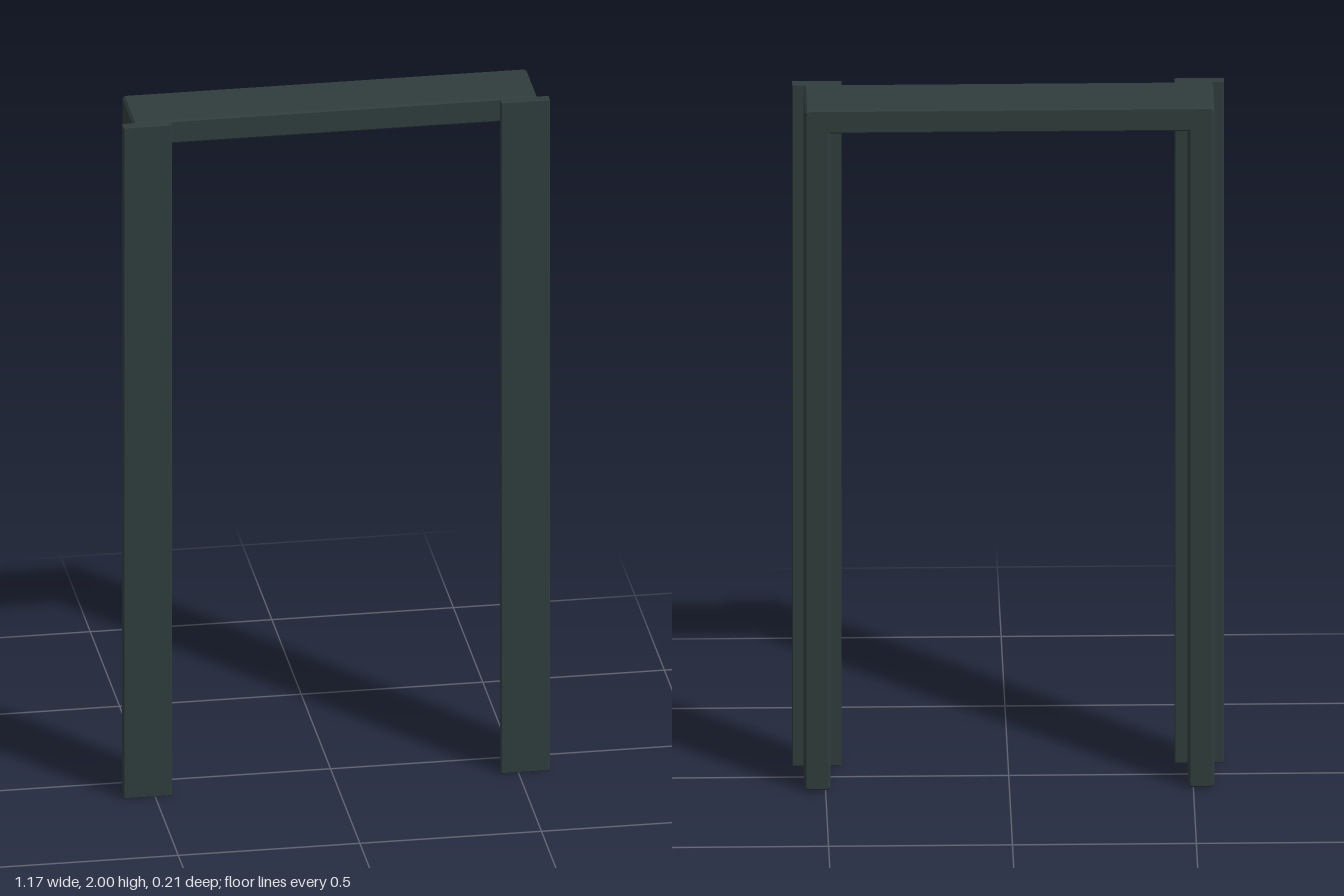
import * as THREE from 'three';

const BEVEL = 0.005;

// Extrudes an outline (already inset by the bevel) between two z planes with chamfered rims
function chamferedPrism(points, z0, z1, bevel) {
  const shape = new THREE.Shape(points.map(([x, y]) => new THREE.Vector2(x, y)));
  const geometry = new THREE.ExtrudeGeometry(shape, {
    depth: z1 - z0 - 2 * bevel,
    bevelEnabled: true,
    bevelSize: bevel,
    bevelThickness: bevel,
    bevelSegments: 1,
  });
  return geometry.translate(0, 0, z0 + bevel);
}

export function createModel() {
  const model = new THREE.Group();
  model.name = 'doorFrame';

  const paint = new THREE.MeshStandardMaterial({ color: 0x2f3d3c });
  paint.name = 'dark green grey paint';

  // Frame: two jambs joined by a head, outer corners cut slightly
  const outer = 0.557 - BEVEL;
  const inner = 0.487 + BEVEL;
  const top = 2 - BEVEL;
  const under = 1.93 + BEVEL;
  const foot = 0.003 + BEVEL;
  const cut = 0.004;
  const half = [
    [inner, under], [inner, foot + cut], [inner + cut, foot],
    [outer - cut, foot], [outer, foot + cut],
    [outer, top - cut], [outer - cut, top],
  ];
  const mirrored = half.map(([x, y]) => [-x, y]).reverse();
  const frame = new THREE.Mesh(
    chamferedPrism([...half, ...mirrored], -0.107, 0.079, BEVEL), paint);
  frame.name = 'jambsAndHead';
  model.add(frame);

  // Flat casing boards on the front of each jamb
  const b = 0.002;
  for (const side of [-1, 1]) {
    const w = 0.067 - b;
    const board = new THREE.Mesh(
      chamferedPrism([[-w, b], [w, b], [w, 2 - b], [-w, 2 - b]], 0.079, 0.107, b), paint);
    board.position.x = side * 0.52;
    board.name = side > 0 ? 'leftCasing' : 'rightCasing';
    model.add(board);
  }

  return model;
}
